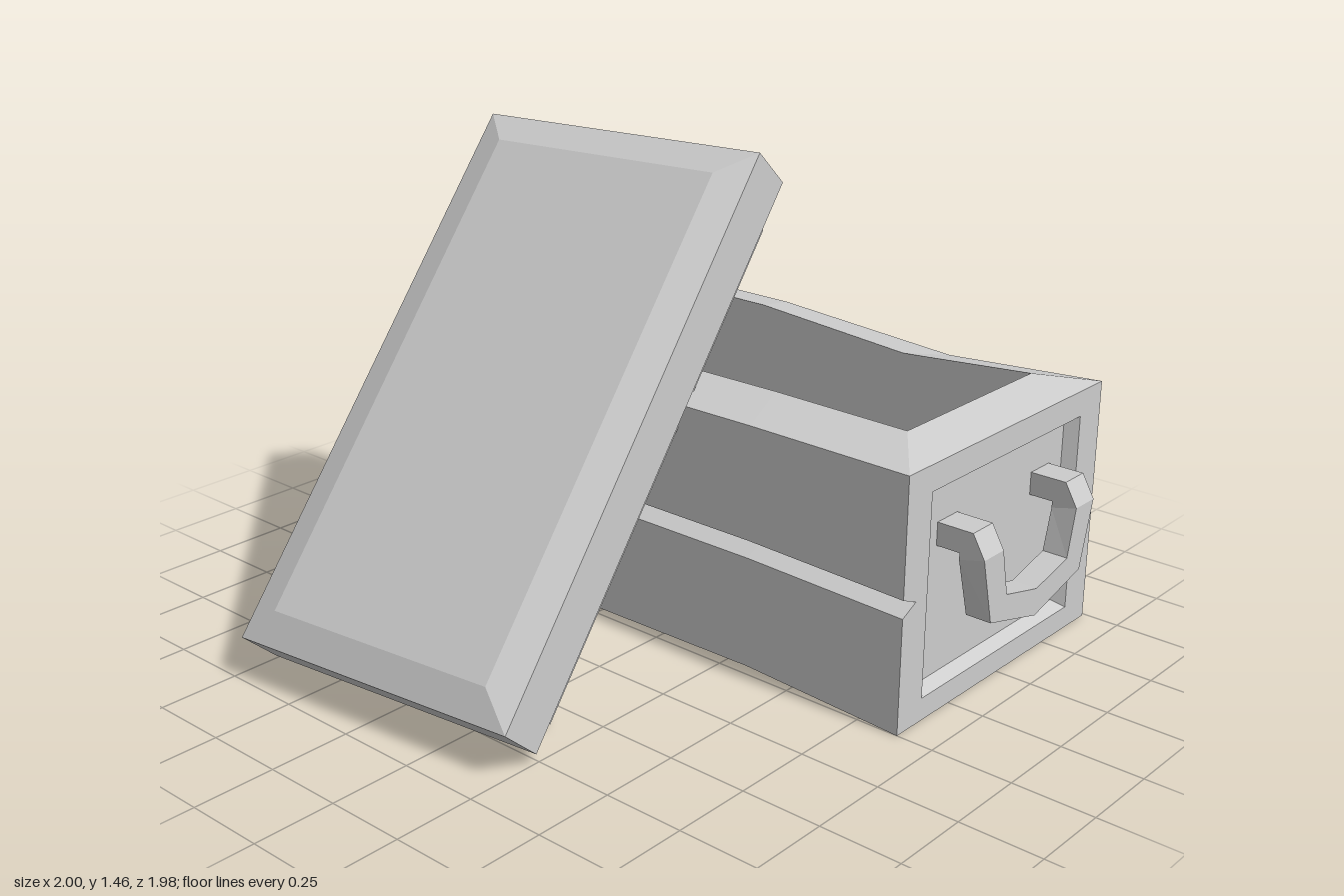
import * as THREE from 'three';

const material = new THREE.MeshStandardMaterial({ color: 0xcccccc, flatShading: true, side: THREE.DoubleSide });

// Skin a row of cross-sections; ring = closed section, capStart/capEnd fill the ends
function loft(name, sections, { ring = true, capStart = false, capEnd = false } = {}) {
  const n = sections[0].length, out = [];
  const tri = (a, b, c) => out.push(...a, ...b, ...c);
  for (let i = 0; i + 1 < sections.length; i++) {
    for (let j = 0; j < (ring ? n : n - 1); j++) {
      const k = (j + 1) % n, p = sections[i], q = sections[i + 1];
      tri(p[j], q[j], q[k]);
      tri(p[j], q[k], p[k]);
    }
  }
  const first = sections[0], last = sections[sections.length - 1];
  for (let j = 1; j + 1 < n; j++) {
    if (capStart) tri(first[0], first[j], first[j + 1]);
    if (capEnd) tri(last[0], last[j + 1], last[j]);
  }
  const geo = new THREE.BufferGeometry();
  geo.setAttribute('position', new THREE.Float32BufferAttribute(out, 3));
  geo.computeVertexNormals();
  const mesh = new THREE.Mesh(geo, material);
  mesh.name = name;
  return mesh;
}

const X = 0.885, Z = 0.495, INX = 0.75, INZ = 0.315, TOP = 0.77, RIM = 0.81, FLOOR = 0.12;

// Long walls, rim, floor and underside, gently warped along x
function createBody() {
  // station: x, then [bottom, groove, top] height offsets for front and back
  const stations = [
    [-X, [0, 0, 0], [0, 0, 0]],
    [-0.3, [0.02, 0.015, 0], [0.02, 0, 0]],
    [0.35, [0.027, 0.015, 0.004], [0.03, -0.01, -0.04]],
    [X, [0, 0, 0], [0, 0, 0]],
  ];
  const side = (x, [b, g, t], s) => {
    const xi = x * INX / X;
    return [
      [x, b, s * Z], [x, 0.355 + g, s * Z], [x, 0.385 + g, s * (Z - 0.06)], [x, 0.41 + g, s * Z],
      [x, TOP + t, s * Z], [xi, RIM + t, s * INZ], [xi, FLOOR, s * INZ],
    ];
  };
  return loft('boxBody', stations.map(([x, f, b]) => [...side(x, f, 1), ...side(x, b, -1).reverse()]));
}

// One end: notched frame, recessed panel, rim, inner wall and handle
function createEnd(name) {
  const end = new THREE.Group();
  end.name = name;

  const outline = [
    [-Z, 0], [Z, 0], [Z, 0.355], [Z - 0.06, 0.385], [Z, 0.41], [Z, TOP],
    [-Z, TOP], [-Z, 0.41], [-Z + 0.06, 0.385], [-Z, 0.355],
  ];
  const rect = (w, y0, y1) => [[-w, y0], [w, y0], [w, y1], [-w, y1]];
  const toV2 = (pts) => pts.map(([x, y]) => new THREE.Vector2(x, y));
  const shape = new THREE.Shape(toV2(outline));
  shape.holes.push(new THREE.Path(toV2(rect(0.382, 0.07, 0.69))));
  const frame = new THREE.Mesh(new THREE.ShapeGeometry(shape).rotateY(Math.PI / 2).translate(X, 0, 0), material);
  frame.name = 'endFrame';

  const at = (x, pts) => pts.map(([z, y]) => [x, y, z]);
  const panel = loft('recessedPanel', [
    at(X, rect(0.382, 0.07, 0.69)), at(X - 0.04, rect(0.36, 0.09, 0.675)),
  ], { capEnd: true });

  const pair = (x, y, z) => [[x, y, -z], [x, y, z]];
  const rim = loft('endRimAndInnerWall', [pair(X, TOP, Z), pair(INX, RIM, INZ), pair(INX, FLOOR, INZ)], { ring: false });

  // Handle: half of the U as four-cornered sections, then mirrored in z
  const section = (xo, xi, ys, zo, zi) => [[xo, ys[0], zo], [xo, ys[1], zi], [xi, ys[2], zi], [xi, ys[3], zo]];
  const half = [
    section(0.83, 0.83, [0.56, 0.56, 0.49, 0.49], 0.288, 0.192),
    section(0.96, 0.92, [0.56, 0.56, 0.49, 0.49], 0.288, 0.192),
    section(1.0, 0.92, [0.49, 0.49, 0.47, 0.47], 0.288, 0.192),
    section(1.0, 0.92, [0.285, 0.345, 0.345, 0.285], 0.236, 0.16),
    section(1.0, 0.92, [0.222, 0.306, 0.306, 0.222], 0, 0),
  ];
  const mirrored = half.slice(0, -1).reverse().map((s) => s.map(([x, y, z]) => [x, y, -z]));
  const handle = loft('handle', [...half, ...mirrored], { capStart: true, capEnd: true });

  end.add(frame, panel, rim, handle);
  return end;
}

// Lid: bevelled slab with a smaller lip below, in a frame of width, length, thickness
function createLid() {
  const W = 0.99, L = 1.775;
  const rect = (dx, dy, z) => [[dx, dy, z], [dx, L - dy, z], [W - dx, L - dy, z], [W - dx, dy, z]];
  const caps = { capStart: true, capEnd: true };
  const lid = new THREE.Group();
  lid.name = 'lid';
  lid.add(
    loft('lidSlab', [rect(0, 0, -0.165), rect(0, 0, 0), rect(0.1, 0.1, 0.032)], caps),
    loft('lidLip', [rect(0.085, 0.1, -0.295), rect(0.085, 0.1, -0.16)], caps),
  );
  // Leaning against the front of the box
  const across = new THREE.Vector3(0.99, 0.01, -0.1).normalize();
  const up = new THREE.Vector3(-0.13, 1.33, -1.185);
  const out = across.clone().cross(up).normalize();
  up.crossVectors(out, across);
  lid.quaternion.setFromRotationMatrix(new THREE.Matrix4().makeBasis(across, up, out));
  lid.position.set(-0.72, 0.13, 0.985);
  return lid;
}

export function createModel() {
  const model = new THREE.Group();
  model.name = 'openBoxWithLid';
  const box = new THREE.Group();
  box.name = 'box';
  const left = createEnd('leftEnd');
  const right = createEnd('rightEnd');
  right.rotation.y = Math.PI;
  box.add(createBody(), left, right);
  box.position.z = -Z;
  model.add(box, createLid());
  return model;
}
